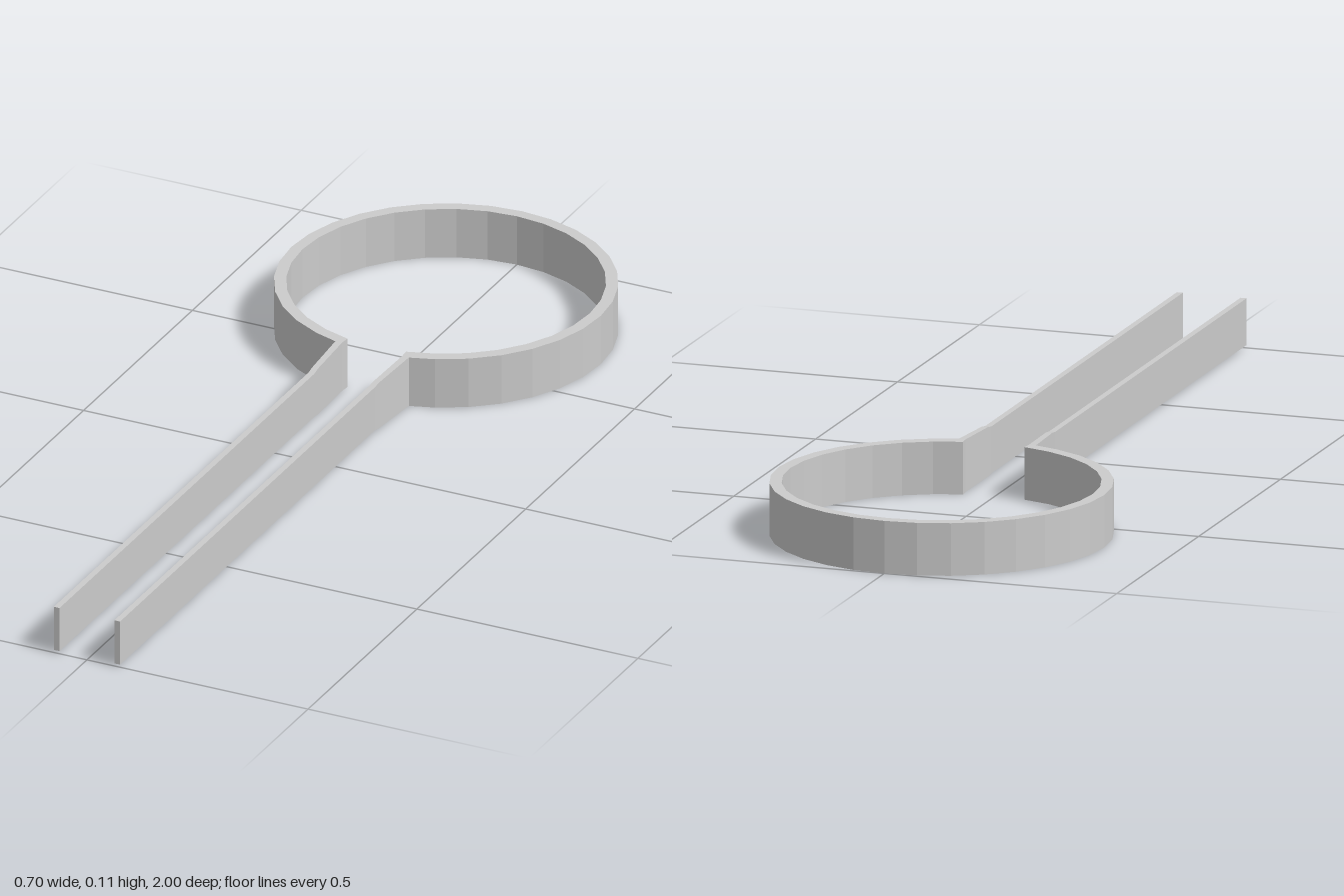
import * as THREE from 'three';

// One station of the band: inner and outer plan points plus bottom and top heights
const station = (xi, zi, xo, zo, y0, y1) => [
  [xi, y0, zi], [xo, y0, zo], [xo, y1, zo], [xi, y1, zi],
];

// Joins rectangular stations into a closed, flat-faceted solid
function sweepBand(stations) {
  const pos = [];
  const quad = (a, b, c, d) => [a, b, c, a, c, d].forEach((p) => pos.push(...p));
  for (let i = 0; i < stations.length - 1; i++) {
    const a = stations[i], b = stations[i + 1];
    for (let j = 0; j < 4; j++) {
      const k = (j + 1) % 4;
      quad(a[j], b[j], b[k], a[k]);
    }
  }
  quad(...stations[0]);
  quad(...stations[stations.length - 1].slice().reverse());
  const g = new THREE.BufferGeometry();
  g.setAttribute('position', new THREE.Float32BufferAttribute(pos, 3));
  g.computeVertexNormals();
  return g;
}

export function createModel() {
  const group = new THREE.Group();
  group.name = 'ringClip';
  const material = new THREE.MeshStandardMaterial({ color: 0xcccccc, flatShading: true });

  // Leg: thin straight strip, flaring slightly where it meets the ring
  const leg = [
    station(0.062, 1, 0.075, 1, 0.006, 0.104),
    station(0.062, -0.17, 0.075, -0.17, 0.006, 0.104),
    station(0.063, -0.19, 0.076, -0.19, 0.003, 0.107),
    station(0.068, -0.31, 0.083, -0.31, 0, 0.11),
    station(0.066, -0.331, 0.084, -0.31, 0, 0.11),
  ];
  const mirrored = leg.slice().reverse().map((s) => s.map(([x, y, z]) => [-x, y, z]));

  // Ring: 32-sided circle left open at the front
  const ring = [];
  const centre = -0.65, inner = 0.325, outer = 0.35;
  for (let k = 2; k <= 30; k++) {
    const a = (k / 32) * Math.PI * 2;
    const s = Math.sin(a), c = Math.cos(a);
    ring.push(station(inner * s, centre + inner * c, outer * s, centre + outer * c, 0, 0.11));
  }

  // Legs and ring are one continuous bent band
  const band = new THREE.Mesh(sweepBand([...leg, ...ring, ...mirrored]), material);
  band.name = 'ringAndLegs';
  group.add(band);
  return group;
}
